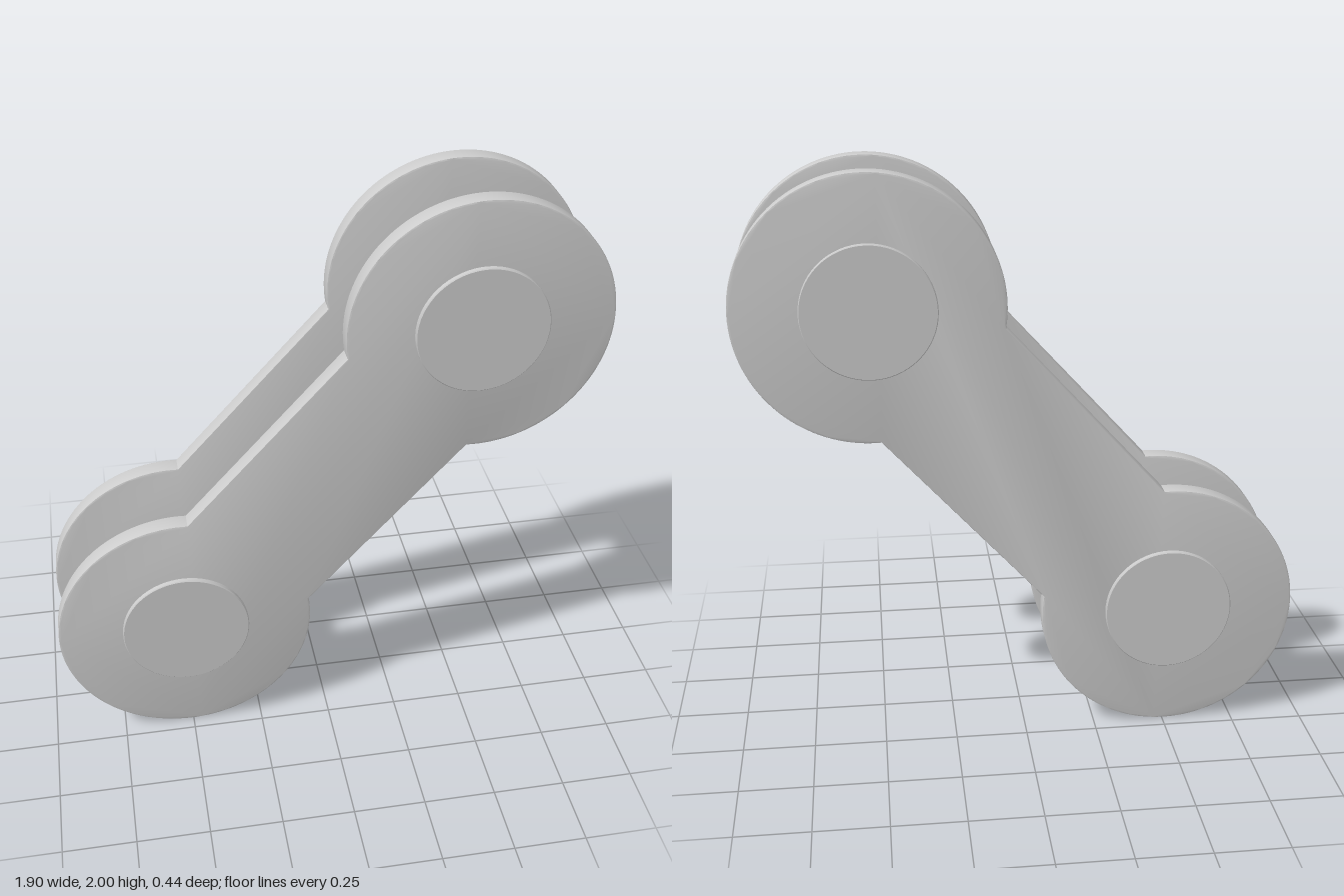
import * as THREE from 'three';
import { toCreasedNormals } from 'three/addons/utils/BufferGeometryUtils.js';

export function createModel() {
  const model = new THREE.Group();
  model.name = 'chainLink';
  const material = new THREE.MeshStandardMaterial({ color: 0xcccccc });

  const end = new THREE.Vector2(0.505, 0.554); // eye centre, measured from the middle
  const half = end.length();
  const eyeRadius = 0.446, neckHalfWidth = 0.28;
  const neckAngle = Math.asin(neckHalfWidth / eyeRadius);

  // Dumbbell outline: two round eyes joined by a straight neck
  const outline = new THREE.Shape();
  outline.absarc(half, 0, eyeRadius, neckAngle - Math.PI, Math.PI - neckAngle, false);
  outline.absarc(-half, 0, eyeRadius, neckAngle, 2 * Math.PI - neckAngle, false);
  outline.closePath();

  const thickness = 0.066, bevel = 0.006;
  const extruded = new THREE.ExtrudeGeometry(outline, {
    depth: thickness - 2 * bevel, curveSegments: 48,
    bevelEnabled: true, bevelSize: bevel, bevelThickness: bevel,
    bevelOffset: -bevel, bevelSegments: 2,
  });
  extruded.translate(0, 0, bevel - thickness / 2);
  extruded.rotateZ(end.angle());
  const plateGeometry = toCreasedNormals(extruded, 0.5);

  // Pin: slightly slimmer between the plates, heads just proud of them
  const profile = [
    [0, -0.22], [0.22, -0.22], [0.223, -0.217], [0.223, -0.13], [0.219, -0.1],
    [0.219, 0.1], [0.223, 0.13], [0.223, 0.217], [0.22, 0.22], [0, 0.22],
  ].map(([r, y]) => new THREE.Vector2(r, y));
  const lathe = new THREE.LatheGeometry(profile, 64);
  lathe.rotateX(Math.PI / 2);
  const pinGeometry = toCreasedNormals(lathe, 0.5);

  // One plate front and back, one pin at each end
  for (const s of [1, -1]) {
    const plate = new THREE.Mesh(plateGeometry, material);
    plate.name = s > 0 ? 'frontPlate' : 'backPlate';
    plate.position.set(0, 1, s * 0.17);
    const pin = new THREE.Mesh(pinGeometry, material);
    pin.name = s > 0 ? 'upperPin' : 'lowerPin';
    pin.position.set(s * end.x, 1 + s * end.y, 0);
    model.add(plate, pin);
  }
  return model;
}
